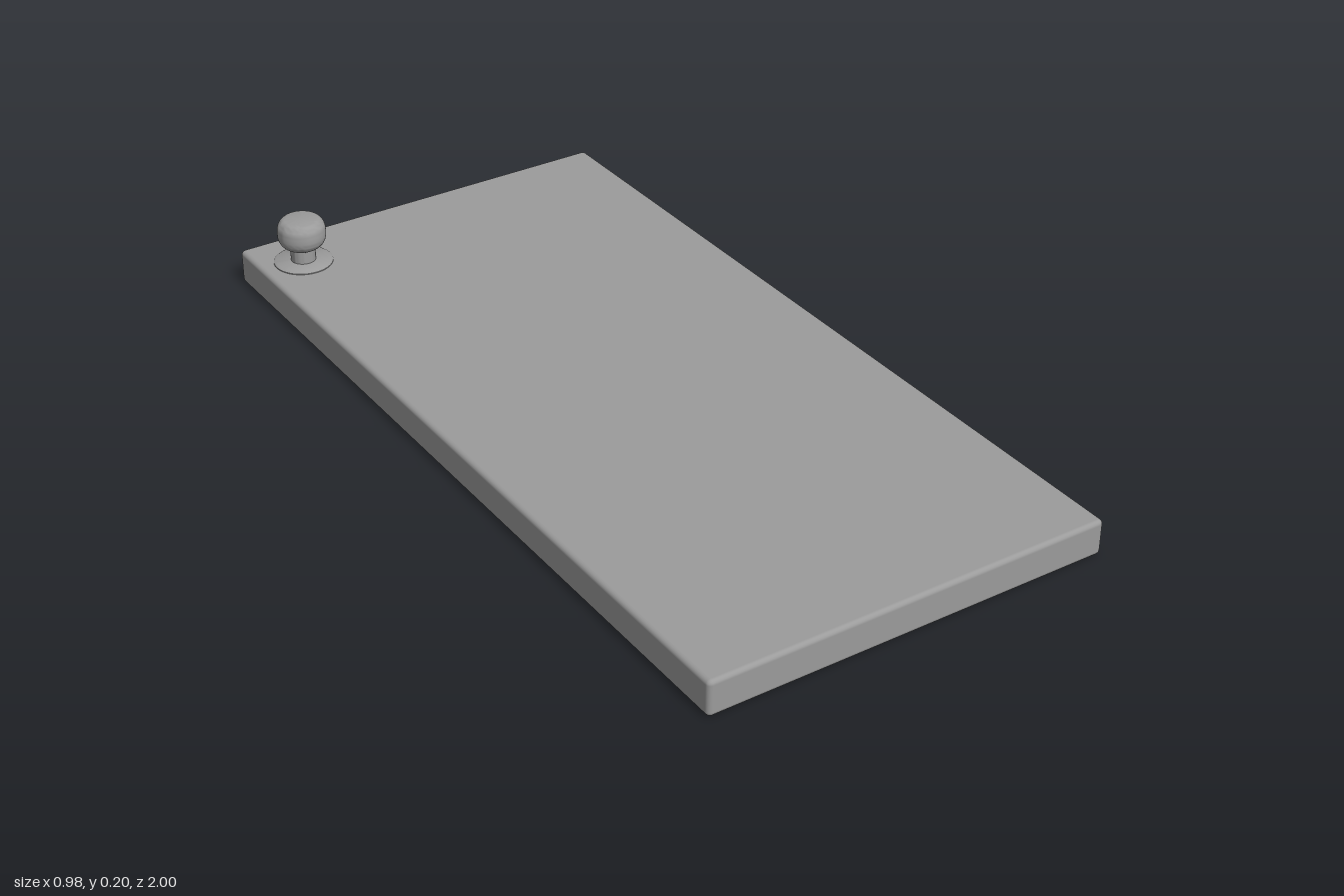
import * as THREE from 'three';
import { RoundedBoxGeometry } from 'three/addons/geometries/RoundedBoxGeometry.js';
import { toCreasedNormals } from 'three/addons/utils/BufferGeometryUtils.js';

const material = new THREE.MeshStandardMaterial({ color: 0x9b9b9b });

function addMesh(parent, name, geometry) {
  const mesh = new THREE.Mesh(geometry, material);
  mesh.name = name;
  parent.add(mesh);
  return mesh;
}

// Turned part from [radius, height] pairs, listed from bottom to top
function turned(points) {
  const profile = points.map(([r, y]) => new THREE.Vector2(r, y));
  return toCreasedNormals(new THREE.LatheGeometry(profile, 40), 0.8);
}

export function createModel() {
  const model = new THREE.Group();
  model.name = 'doorPanel';

  // Flat slab with softened edges
  const panel = addMesh(model, 'panel', new RoundedBoxGeometry(0.98, 0.086, 2, 2, 0.011));
  panel.position.y = 0.043;

  // Knob near the back right corner
  const knob = new THREE.Group();
  knob.name = 'knobAssembly';
  knob.position.set(-0.385, 0.086, -0.869);
  model.add(knob);

  // Thin plate with a sloping rim
  addMesh(knob, 'backplate', turned([
    [0, -0.005], [0.071, -0.005], [0.071, 0.002], [0.065, 0.006], [0, 0.006],
  ]));
  addMesh(knob, 'stem', turned([[0, 0], [0.03, 0], [0.03, 0.045], [0, 0.045]]));

  // Rounded grip, flat on top and underneath
  const grip = new THREE.Path();
  grip.moveTo(0, 0.04);
  grip.lineTo(0.035, 0.04);
  grip.bezierCurveTo(0.047, 0.044, 0.058, 0.056, 0.058, 0.072);
  grip.lineTo(0.058, 0.083);
  grip.bezierCurveTo(0.058, 0.1, 0.049, 0.114, 0.034, 0.114);
  grip.lineTo(0, 0.114);
  addMesh(knob, 'grip', turned(grip.getPoints(8).map((p) => [p.x, p.y])));

  return model;
}
